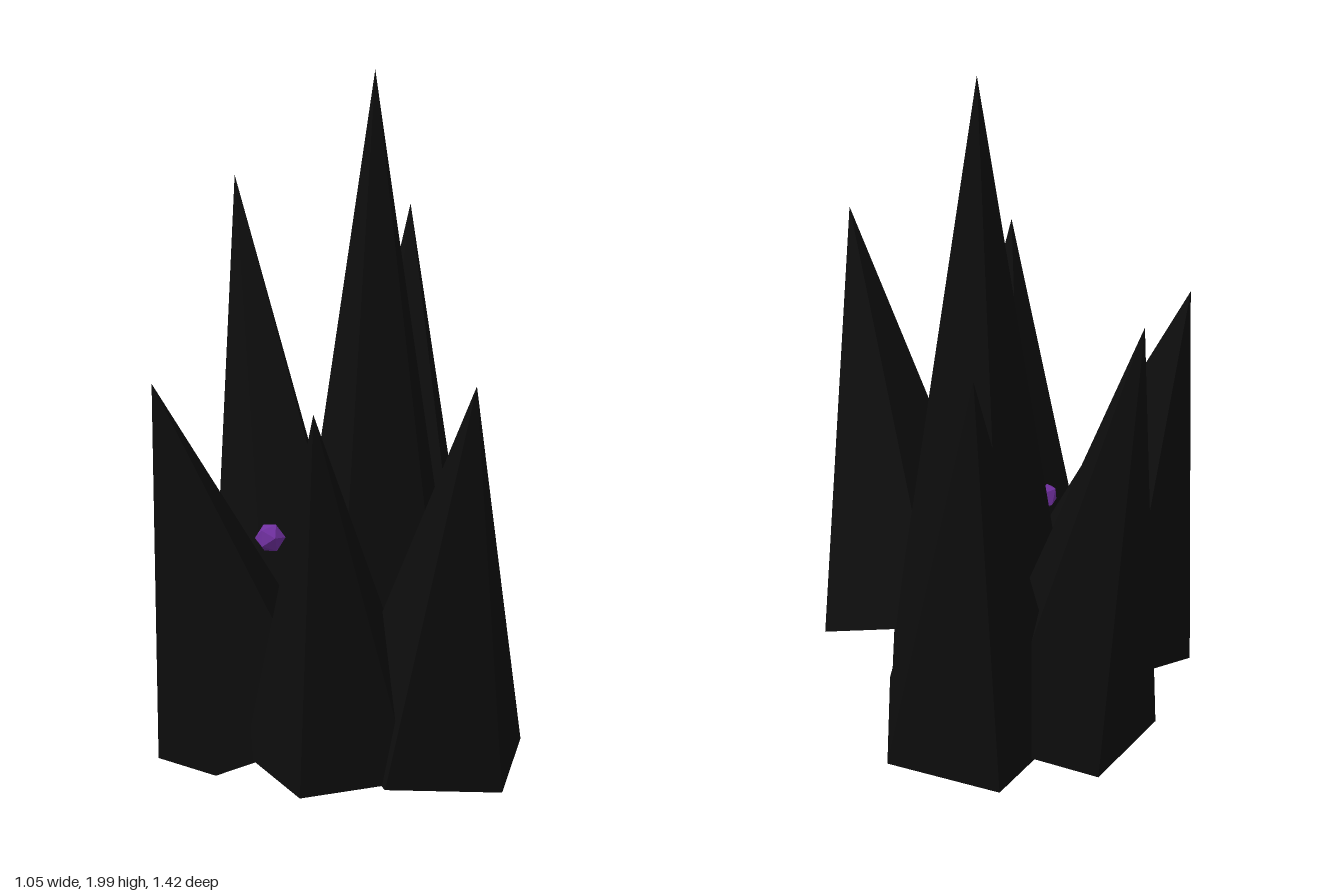
import * as THREE from 'three';

const black = new THREE.MeshStandardMaterial({ color: 0x0d0d0d, flatShading: true });
black.name = 'obsidian black';
const purple = new THREE.MeshStandardMaterial({ color: 0x7030a0, flatShading: true });
purple.name = 'crystal purple';

const UP = new THREE.Vector3(0, 1, 0);

// Five-sided spike leaning from its base centre to its tip
function spike(name, base, tip, radius, twist = 0) {
  const from = new THREE.Vector3(...base);
  const axis = new THREE.Vector3(...tip).sub(from);
  const height = axis.length();
  const geometry = new THREE.ConeGeometry(radius, height, 5, 1, false, Math.PI + twist);
  geometry.translate(0, height / 2, 0);
  const mesh = new THREE.Mesh(geometry, black);
  mesh.name = name;
  mesh.position.copy(from);
  mesh.quaternion.setFromUnitVectors(UP, axis.normalize());
  return mesh;
}

// Small faceted crystal
function crystal(name, position, rotation) {
  const mesh = new THREE.Mesh(new THREE.IcosahedronGeometry(0.044, 0), purple);
  mesh.name = name;
  mesh.position.set(...position);
  mesh.rotation.set(...rotation);
  return mesh;
}

export function createModel() {
  const model = new THREE.Group();
  model.name = 'spikeCluster';

  model.add(
    spike('centreSpike', [0.147, 0.09, 0.02], [0.135, 2, 0.035], 0.285),
    spike('rightSpike', [-0.207, 0.088, 0.077], [-0.525, 1.13, 0.12], 0.3),
    spike('backRightSpike', [-0.01, 0.08, -0.34], [-0.14, 1.54, -0.708], 0.264, 0.11),
    spike('backLeftSpike', [0.257, 0.085, -0.308], [0.365, 1.44, -0.695], 0.287),
    spike('frontRightSpike', [-0.02, 0.085, 0.36], [-0.15, 1.14, 0.64], 0.275),
    spike('frontLeftSpike', [0.236, 0.085, 0.37], [0.31, 1.22, 0.708], 0.288),
  );

  // Purple crystals among the spikes
  model.add(
    crystal('backCrystal', [-0.13, 0.6, -0.18], [0.4, 0.3, 0.2]),
    crystal('frontCrystal', [-0.152, 0.4, 0.338], [0.2, 0.7, 0.5]),
  );
  return model;
}
